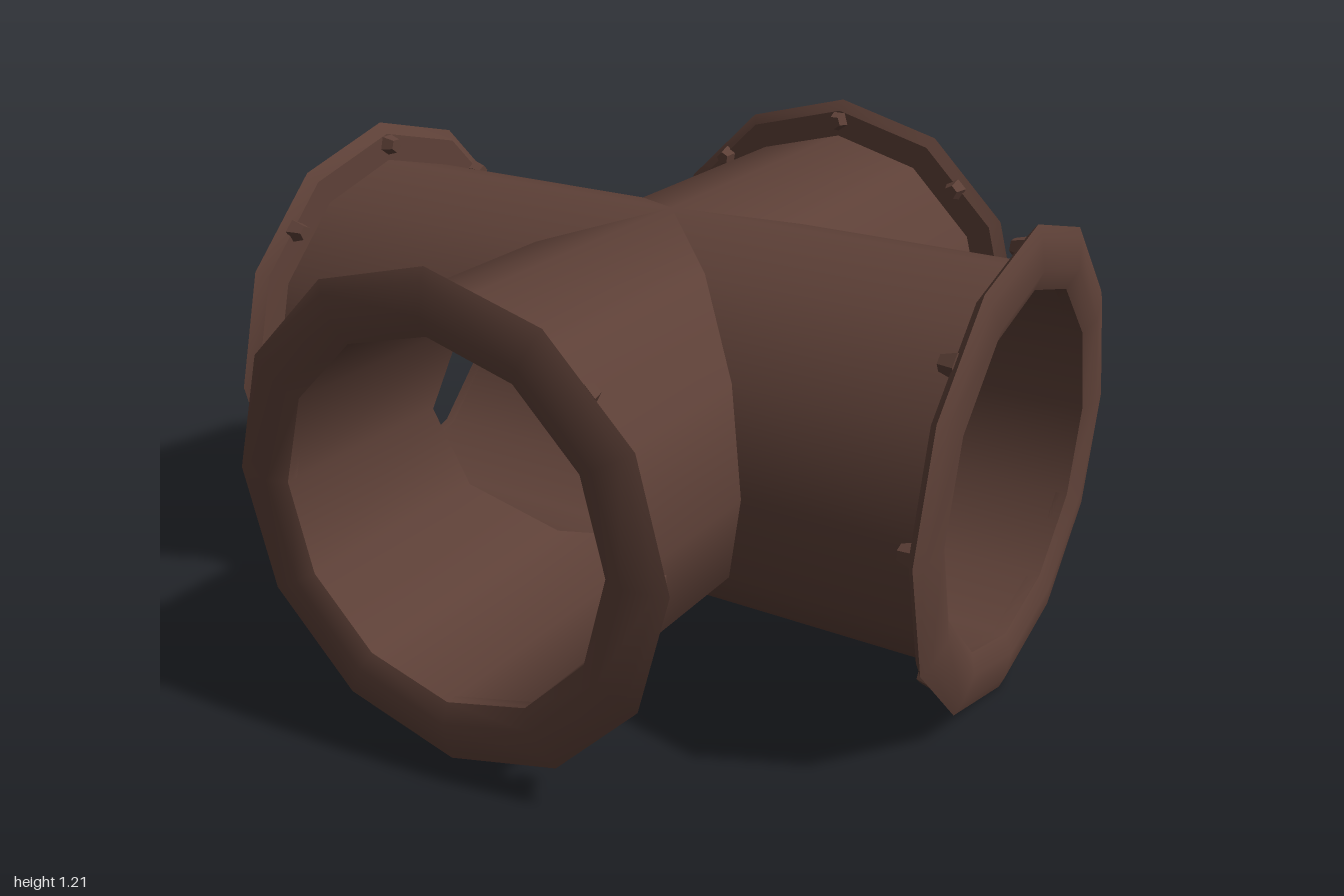
import * as THREE from 'three';
import { toCreasedNormals } from 'three/addons/utils/BufferGeometryUtils.js';

const SIDES = 12;
const CENTRE_Y = 0.605;

// Open tube along +z whose inner end is mitred at 45 degrees to meet its neighbours
function mitredTube(radius, end, inward) {
  const pos = [], nor = [], idx = [];
  const s = inward ? -1 : 1;
  for (let i = 0; i <= SIDES; i++) {
    const a = (i / SIDES) * Math.PI * 2;
    const x = Math.sin(a), y = Math.cos(a);
    pos.push(radius * x, radius * y, radius * Math.abs(x), radius * x, radius * y, end);
    nor.push(s * x, s * y, 0, s * x, s * y, 0);
    if (i < SIDES) {
      const k = i * 2;
      if (inward) idx.push(k, k + 2, k + 1, k + 1, k + 2, k + 3);
      else idx.push(k, k + 1, k + 2, k + 1, k + 3, k + 2);
    }
  }
  const g = new THREE.BufferGeometry();
  g.setAttribute('position', new THREE.Float32BufferAttribute(pos, 3));
  g.setAttribute('normal', new THREE.Float32BufferAttribute(nor, 3));
  g.setIndex(idx);
  return g;
}

export function createModel() {
  const model = new THREE.Group();
  model.name = 'pipeCross';
  const brown = new THREE.MeshStandardMaterial({ color: 0x5d4037 });
  brown.name = 'rustBrown';

  const outerGeo = mitredTube(0.5, 0.96, false);
  const innerGeo = mitredTube(0.45, 0.98, true);

  // Collar with a thin outer lip
  const profile = [
    [0.45, 0.95], [0.5, 0.95], [0.575, 0.952], [0.605, 0.975],
    [0.575, 0.988], [0.5, 1], [0.45, 0.98], [0.45, 0.95],
  ].map(([r, z]) => new THREE.Vector2(r, z));
  const flangeGeo = toCreasedNormals(
    new THREE.LatheGeometry(profile, SIDES).rotateX(Math.PI / 2), 0.6);

  // Small tapered bolt, wide end against the collar
  const boltGeo = new THREE.CylinderGeometry(0.032, 0.02, 0.04, 5)
    .rotateX(Math.PI / 2).toNonIndexed();
  boltGeo.computeVertexNormals();

  const add = (parent, geo, name) => {
    const mesh = new THREE.Mesh(geo, brown);
    mesh.name = name;
    parent.add(mesh);
    return mesh;
  };

  // Four identical arms around the vertical axis
  ['front', 'left', 'back', 'right'].forEach((side, n) => {
    const arm = new THREE.Group();
    arm.name = side + 'Arm';
    arm.position.y = CENTRE_Y;
    arm.rotation.y = (n * Math.PI) / 2;
    add(arm, outerGeo, 'pipeOuter');
    add(arm, innerGeo, 'pipeBore');
    add(arm, flangeGeo, 'flange');
    for (let i = 0; i < 8; i++) {
      const a = (i * Math.PI) / 4;
      const bolt = add(arm, boltGeo, 'bolt');
      bolt.position.set(Math.sin(a) * 0.545, Math.cos(a) * 0.545, 0.938);
      bolt.rotation.z = -a;
    }
    model.add(arm);
  });
  return model;
}
